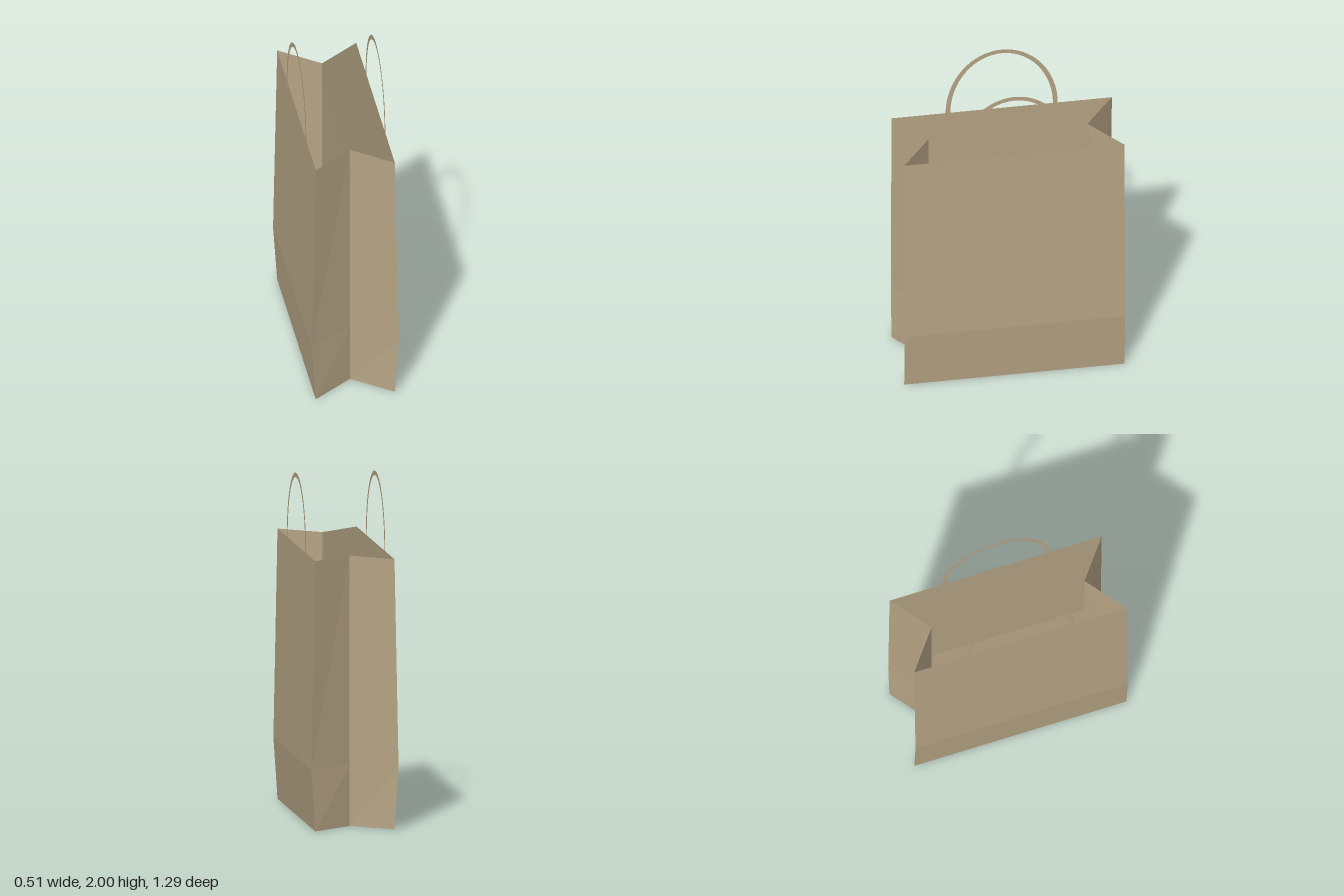
import * as THREE from 'three';

const HALF_DEPTH = 0.645; // panel half width along z
const FOLD_Z = 0.465;     // inner crease of the side gussets
const RIM_Y = 1.58;
const RIM_X = 0.232;

// Outline of the bag at a given half thickness, with V-folded ends
const outline = (x) => [
  [x, HALF_DEPTH], [x, -HALF_DEPTH], [0, -FOLD_Z],
  [-x, -HALF_DEPTH], [-x, HALF_DEPTH], [0, FOLD_Z],
];

// Folded walls: skin between the outlines at each height
function wallGeometry() {
  const levels = [[0, RIM_X], [0.36, 0.256], [RIM_Y, RIM_X]];
  const rings = levels.map(([y, x]) => outline(x).map(([px, pz]) => [px, y, pz]));
  const pos = [];
  for (let l = 0; l < rings.length - 1; l++) {
    for (let i = 0; i < 6; i++) {
      const j = (i + 1) % 6;
      const a = rings[l][i], b = rings[l][j], c = rings[l + 1][j], d = rings[l + 1][i];
      pos.push(...a, ...b, ...c, ...a, ...c, ...d);
    }
  }
  const g = new THREE.BufferGeometry();
  g.setAttribute('position', new THREE.Float32BufferAttribute(pos, 3));
  g.computeVertexNormals();
  return g;
}

// Floor facing down
function floorGeometry() {
  const shape = new THREE.Shape(outline(RIM_X).map(([x, z]) => new THREE.Vector2(x, z)));
  return new THREE.ShapeGeometry(shape).rotateX(Math.PI / 2);
}

// Flat paper strip bent into a half ellipse
function handleGeometry() {
  const shape = new THREE.Shape();
  shape.absellipse(0, 0, 0.328, 0.42, 0, Math.PI, false);
  shape.absellipse(0, 0, 0.3, 0.394, Math.PI, 0, true);
  return new THREE.ShapeGeometry(shape, 32).rotateY(Math.PI / 2);
}

export function createModel() {
  const bag = new THREE.Group();
  bag.name = 'paperBag';
  const paper = new THREE.MeshStandardMaterial({
    color: 0xb5a384, side: THREE.DoubleSide, flatShading: true,
  });
  const add = (name, geometry) => {
    const mesh = new THREE.Mesh(geometry, paper);
    mesh.name = name;
    bag.add(mesh);
    return mesh;
  };

  add('walls', wallGeometry());
  add('floor', floorGeometry());

  // One handle on each panel
  for (const side of [1, -1]) {
    const handle = add(side > 0 ? 'leftHandle' : 'rightHandle', handleGeometry());
    handle.position.set(side * RIM_X, RIM_Y, 0);
  }
  return bag;
}
